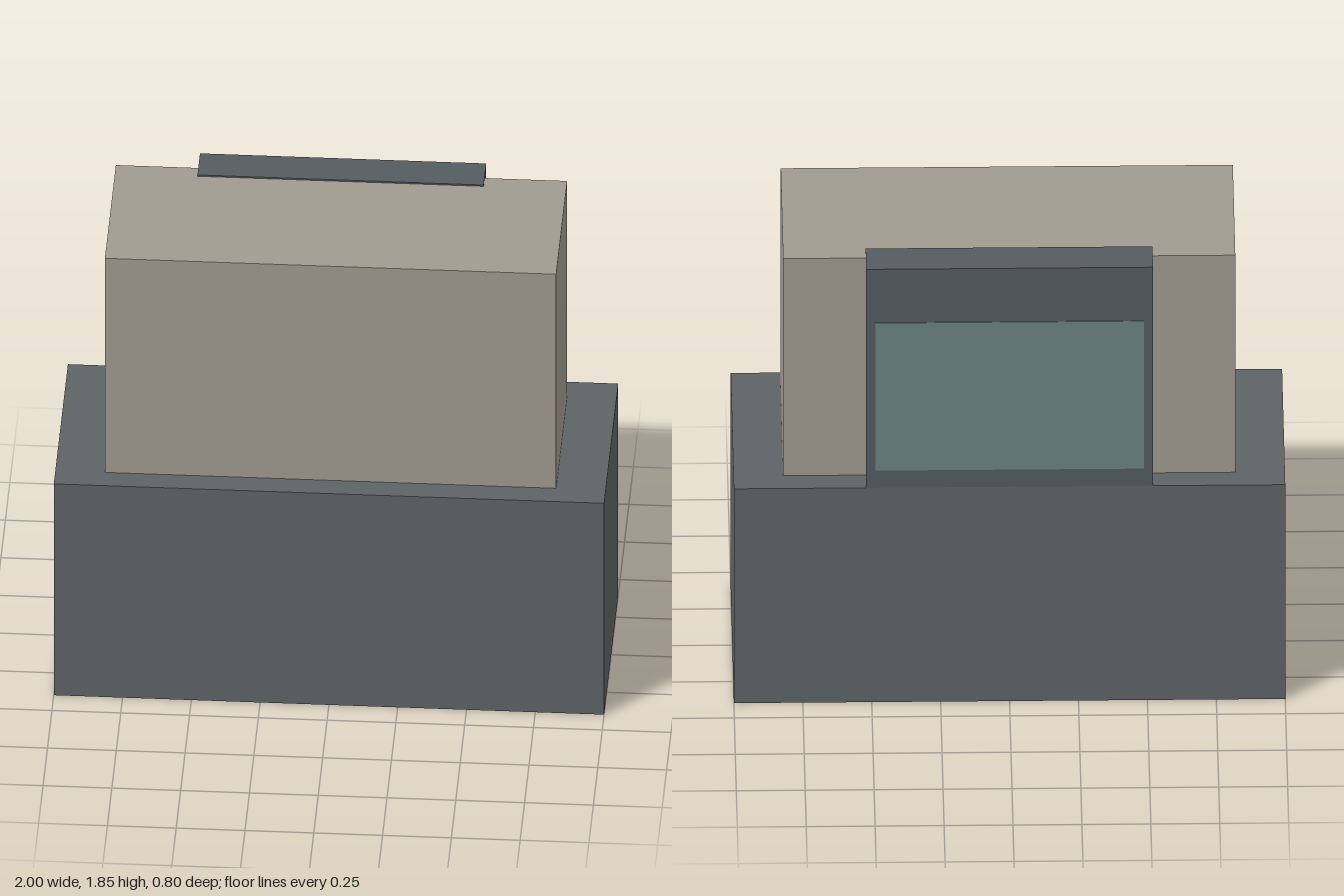
import * as THREE from 'three';

const paint = (color) => new THREE.MeshStandardMaterial({ color });

// Box given by its extents on each axis
function block(name, material, [x0, x1], [y0, y1], [z0, z1]) {
  const mesh = new THREE.Mesh(new THREE.BoxGeometry(x1 - x0, y1 - y0, z1 - z0), material);
  mesh.position.set((x0 + x1) / 2, (y0 + y1) / 2, (z0 + z1) / 2);
  mesh.name = name;
  return mesh;
}

export function createModel() {
  const model = new THREE.Group();
  model.name = 'steppedCabinet';

  const slate = paint(0x5d6466);
  const beige = paint(0xa09b8f);
  const darkSlate = paint(0x545c60);
  const glass = paint(0x6b8284);

  model.add(
    // Wide lower body and the narrower body standing on it
    block('base', slate, [-1, 1], [0, 0.915], [-0.398, 0.398]),
    block('upperBody', beige, [-0.82, 0.82], [0.915, 1.842], [-0.31, 0.31]),
    // Rear housing, lapping slightly over the top of the upper body
    block('rearHousing', darkSlate, [-0.52, 0.52], [0.915, 1.848], [-0.398, -0.255]),
    // Thin window panel on the back of the housing
    block('rearWindow', glass, [-0.487, 0.487], [0.99, 1.62], [-0.401, -0.39]),
  );
  return model;
}
